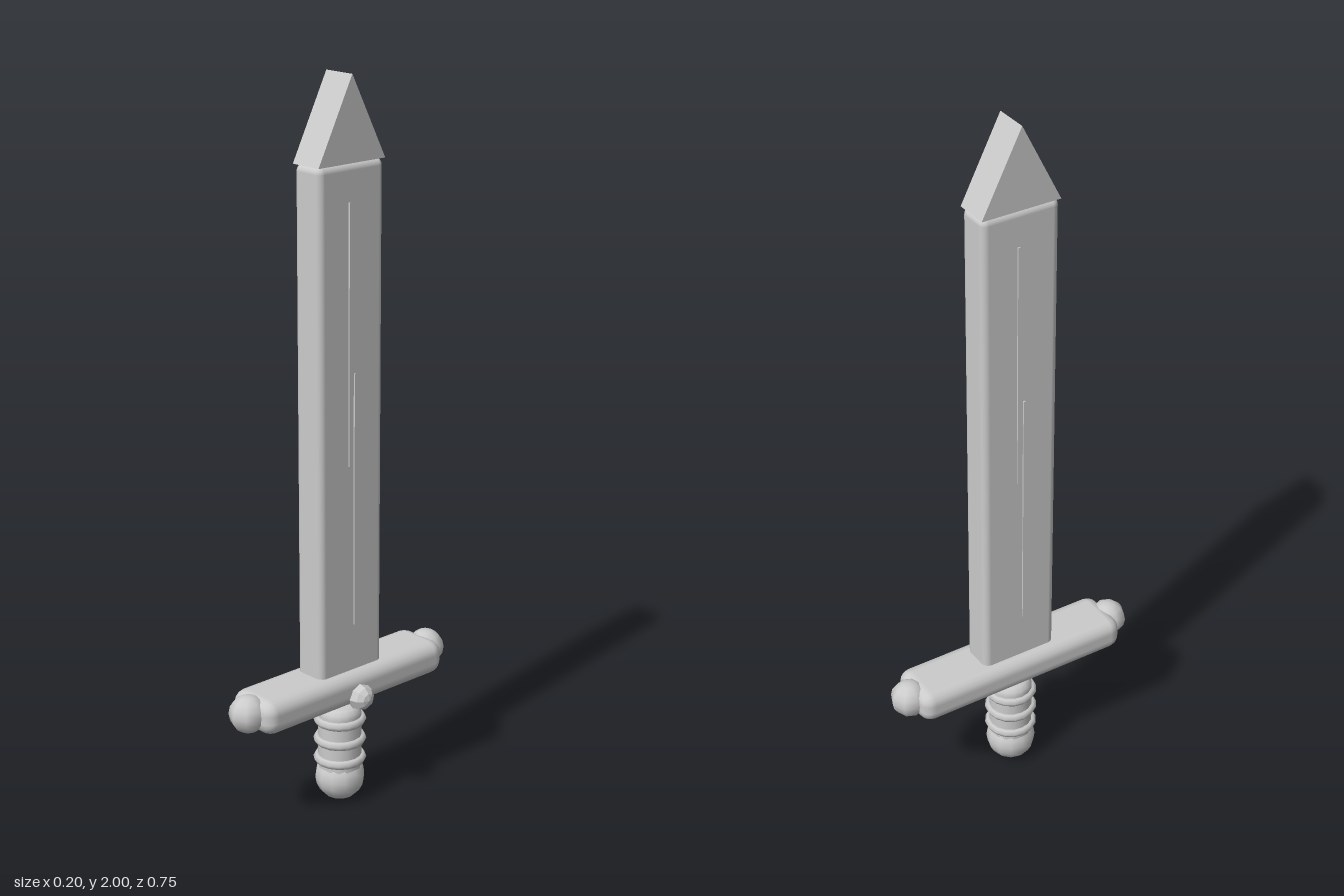
import * as THREE from 'three';
import { RoundedBoxGeometry } from 'three/addons/geometries/RoundedBoxGeometry.js';

export function createModel() {
  const sword = new THREE.Group();
  sword.name = 'sword';
  const smooth = new THREE.MeshStandardMaterial({ color: 0xcccccc });
  const faceted = new THREE.MeshStandardMaterial({ color: 0xcccccc, flatShading: true });

  // All parts sit on a shared vertical axis
  const body = new THREE.Group();
  body.name = 'body';
  body.position.x = -0.02;
  sword.add(body);

  const add = (name, geometry, x, y, z, material = smooth) => {
    const mesh = new THREE.Mesh(geometry, material);
    mesh.name = name;
    mesh.position.set(x, y, z);
    body.add(mesh);
    return mesh;
  };

  // Blade with softened edges
  add('blade', new RoundedBoxGeometry(0.096, 1.42, 0.224, 3, 0.02), 0, 1.07, 0);

  // Wedge tip: a triangle pushed through the blade's thickness
  const triangle = new THREE.Shape([
    new THREE.Vector2(-0.113, 0),
    new THREE.Vector2(0.113, 0),
    new THREE.Vector2(0, 0.222),
  ]);
  const tip = new THREE.ExtrudeGeometry(triangle, { depth: 0.096, bevelEnabled: false });
  tip.translate(0, 0, -0.048);
  tip.rotateY(Math.PI / 2);
  add('bladeTip', tip, 0, 1.778, 0, faceted);

  // Two staggered thin ridges on each flat of the blade
  const ridge = new THREE.BoxGeometry(0.01, 0.7, 0.006);
  for (const side of [1, -1]) {
    add('upperRidge', ridge, side * 0.047, 1.33, side * 0.009, faceted);
    add('lowerRidge', ridge, side * 0.047, 0.88, side * -0.009, faceted);
  }

  // Crossguard with a ball on each end
  add('guard', new RoundedBoxGeometry(0.162, 0.096, 0.646, 2, 0.037), 0, 0.352, 0);
  for (const side of [1, -1]) {
    add('guardBall', new THREE.SphereGeometry(0.052, 8, 8), 0, 0.356, side * 0.325);
  }

  // Faceted gem on one face of the guard
  const gem = new THREE.SphereGeometry(0.037, 8, 6);
  gem.rotateZ(-Math.PI / 2);
  add('gem', gem, 0.083, 0.331, 0, faceted);

  // Grip: a short column with a rounded top
  const profile = [[0, 0.06], [0.057, 0.06], [0.06, 0.1], [0.06, 0.255], [0.057, 0.268], [0.048, 0.279], [0.035, 0.283], [0, 0.283]];
  add('grip', new THREE.LatheGeometry(profile.map(([r, y]) => new THREE.Vector2(r, y)), 16), 0, 0, 0);

  // Raised rings around the grip
  const ring = new THREE.TorusGeometry(0.06, 0.013, 6, 16);
  ring.rotateX(Math.PI / 2);
  for (const y of [0.125, 0.182, 0.24]) add('gripRing', ring, 0, y, 0);

  // Round pommel
  add('pommel', new THREE.SphereGeometry(0.069, 12, 10), 0, 0.069, 0);

  return sword;
}
